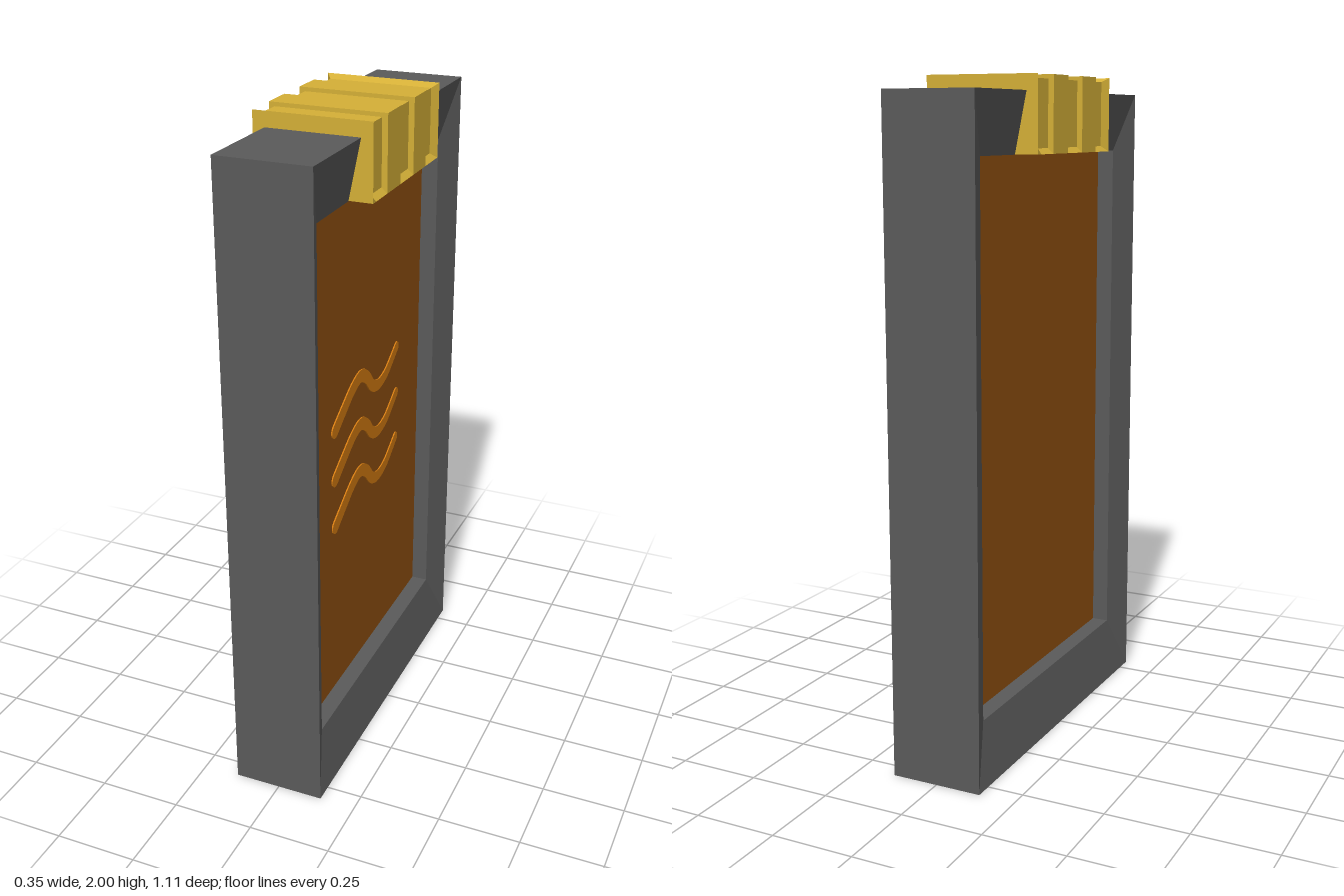
import * as THREE from 'three';

const mat = (name, color) => {
  const m = new THREE.MeshStandardMaterial({ color });
  m.name = name;
  return m;
};

// Skin a list of equal-length point rings with flat quads.
function loft(rings, { closed = false, caps = false } = {}) {
  const pos = [];
  const tri = (...pts) => pts.forEach((p) => pos.push(...p));
  const n = rings[0].length;
  const count = closed ? rings.length : rings.length - 1;
  for (let r = 0; r < count; r++) {
    const a = rings[r], b = rings[(r + 1) % rings.length];
    for (let i = 0; i < n; i++) {
      const j = (i + 1) % n;
      tri(a[i], a[j], b[j]);
      tri(a[i], b[j], b[i]);
    }
  }
  if (caps) {
    const first = rings[0], last = rings[rings.length - 1];
    for (let i = 1; i < n - 1; i++) {
      tri(first[0], first[i + 1], first[i]);
      tri(last[0], last[i], last[i + 1]);
    }
  }
  const g = new THREE.BufferGeometry();
  g.setAttribute('position', new THREE.Float32BufferAttribute(pos, 3));
  g.computeVertexNormals();
  return g;
}

// Ribbon with round ends following a smooth curve.
function ribbonShape(points, startRadius, endRadius) {
  const curve = new THREE.SplineCurve(points.map(([x, y]) => new THREE.Vector2(x, y)));
  const steps = 32, left = [], right = [];
  const at = (t, angle) => {
    const p = curve.getPoint(t), d = curve.getTangent(t);
    const a = Math.atan2(d.y, d.x) + angle;
    const r = THREE.MathUtils.lerp(startRadius, endRadius, t);
    return new THREE.Vector2(p.x + r * Math.cos(a), p.y + r * Math.sin(a));
  };
  for (let i = 0; i <= steps; i++) {
    left.push(at(i / steps, Math.PI / 2));
    right.unshift(at(i / steps, -Math.PI / 2));
  }
  const endCap = [], startCap = [];
  for (let i = 1; i < 8; i++) {
    endCap.push(at(1, Math.PI / 2 - (i * Math.PI) / 8));
    startCap.push(at(0, -Math.PI / 2 - (i * Math.PI) / 8));
  }
  return new THREE.Shape([...left, ...endCap, ...right, ...startCap]);
}

export function createModel() {
  const grey = mat('dark grey', 0x5a5a5a);
  const brown = mat('brown', 0x905010);
  const orange = mat('orange', 0xd47b10);
  const gold = mat('gold', 0xd4af37);

  const model = new THREE.Group();
  model.name = 'framedTablet';
  const add = (name, geometry, material) => {
    const mesh = new THREE.Mesh(geometry, material);
    mesh.name = name;
    model.add(mesh);
    return mesh;
  };

  // Frame: both faces slope inward to the opening
  const rect = (x, h, y0, y1) => [[x, y0, h], [x, y0, -h], [x, y1, -h], [x, y1, h]];
  const outer = (x) => rect(x, 0.555, 0, 1.955);
  const inner = (x) => rect(x, 0.46, 0.18, 1.78);
  add('frame', loft([outer(0.14), inner(0.104), inner(-0.104), outer(-0.14)], { closed: true }), grey);

  // Recessed panel
  const panelX = 0.052;
  add('panel', new THREE.BoxGeometry(panelX * 2, 1.6, 0.92), brown).position.y = 0.98;

  // Three wavy stripes on the left face only
  const wave = [[-0.235, 1.08], [-0.17, 1.12], [-0.1, 1.16], [-0.04, 1.175], [0.01, 1.15],
    [0.05, 1.108], [0.1, 1.09], [0.16, 1.1], [0.21, 1.128], [0.255, 1.158]];
  const waveGeometry = new THREE.ExtrudeGeometry(ribbonShape(wave, 0.023, 0.016),
    { depth: 0.006, bevelEnabled: false });
  for (let i = 0; i < 3; i++) {
    const stripe = add('waveStripe', waveGeometry, orange);
    stripe.rotation.y = Math.PI / 2;
    stripe.position.set(panelX - 0.002, -0.16 * i, 0);
  }

  // Clasp: ribs and grooves along z, with a raised rim at the ends and foot
  const wide = 0.175, foot = 1.781;
  const section = (z, raised) => {
    const w = raised ? wide : 0.158, top = raised ? 2 : 1.988;
    return [[-wide, foot, z], [wide, foot, z], [w, 1.797, z], [w, top, z], [-w, top, z], [-w, 1.797, z]];
  };
  const steps = [[-0.252, 1], [-0.23, 0], [-0.15, 0], [-0.15, 1], [-0.05, 1], [-0.05, 0],
    [0.05, 0], [0.05, 1], [0.15, 1], [0.15, 0], [0.23, 0], [0.252, 1]];
  add('clasp', loft(steps.map(([z, raised]) => section(z, raised)), { caps: true }), gold);

  return model;
}
